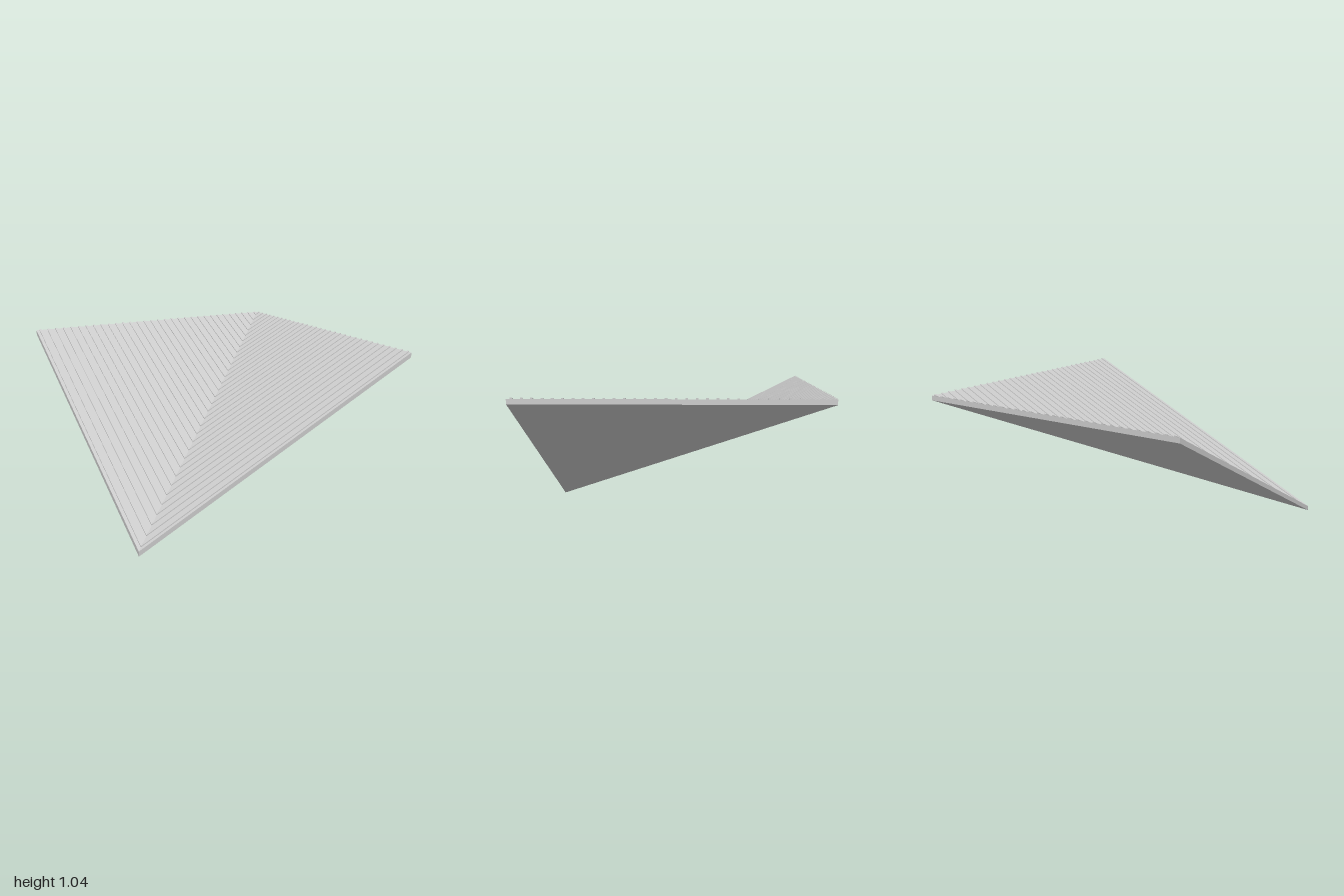
import * as THREE from 'three';

const SHEET = 0.033;      // vertical thickness of a roof sheet
const RIB_RISE = 0.007;   // height of a rib above the sheet
const RIB_HALF = 0.008;   // half the width of a rib
const RIBS = 32;

// Prism over a plan outline of [x, z] points, sheared to follow a slope
function slopedPrism(plan, base, height, slope) {
  const shape = new THREE.Shape(plan.map(([x, z]) => new THREE.Vector2(x, -z)));
  const geo = new THREE.ExtrudeGeometry(shape, { depth: height, bevelEnabled: false });
  geo.rotateX(-Math.PI / 2);
  const p = geo.attributes.position;
  for (let i = 0; i < p.count; i++) {
    p.setY(i, p.getY(i) + base + slope(p.getX(i), p.getZ(i)));
  }
  geo.computeVertexNormals();
  return geo;
}

export function createModel() {
  const model = new THREE.Group();
  model.name = 'valleyRoof';
  const material = new THREE.MeshStandardMaterial({ color: 0xcccccc });

  // One triangular roof panel; "place" maps its plan onto either side of the valley
  function addPanel(name, place, slope) {
    const panel = new THREE.Group();
    panel.name = name;
    const add = (part, plan, base, height) => {
      const mesh = new THREE.Mesh(slopedPrism(plan.map(place), base, height, slope), material);
      mesh.name = part;
      panel.add(mesh);
    };

    // Sheet, cut along the diagonal valley
    add('sheet', [[-1, -1], [1, -1], [-1, 1]], 0, SHEET);

    // Ribs running down the slope, mitred at the valley
    for (let i = 0; i < RIBS; i++) {
      const x = -1 + (2 * (i + 0.5)) / RIBS;
      const a = x - RIB_HALF, b = x + RIB_HALF;
      add('rib', [[a, -1], [b, -1], [b, -b], [a, -a]], SHEET - 0.002, RIB_RISE + 0.002);
    }
    model.add(panel);
  }

  addPanel('backPanel', ([x, z]) => [x, z], (x, z) => (1 - z) / 2);
  addPanel('sidePanel', ([x, z]) => [-z, -x], (x) => (1 + x) / 2);

  return model;
}
